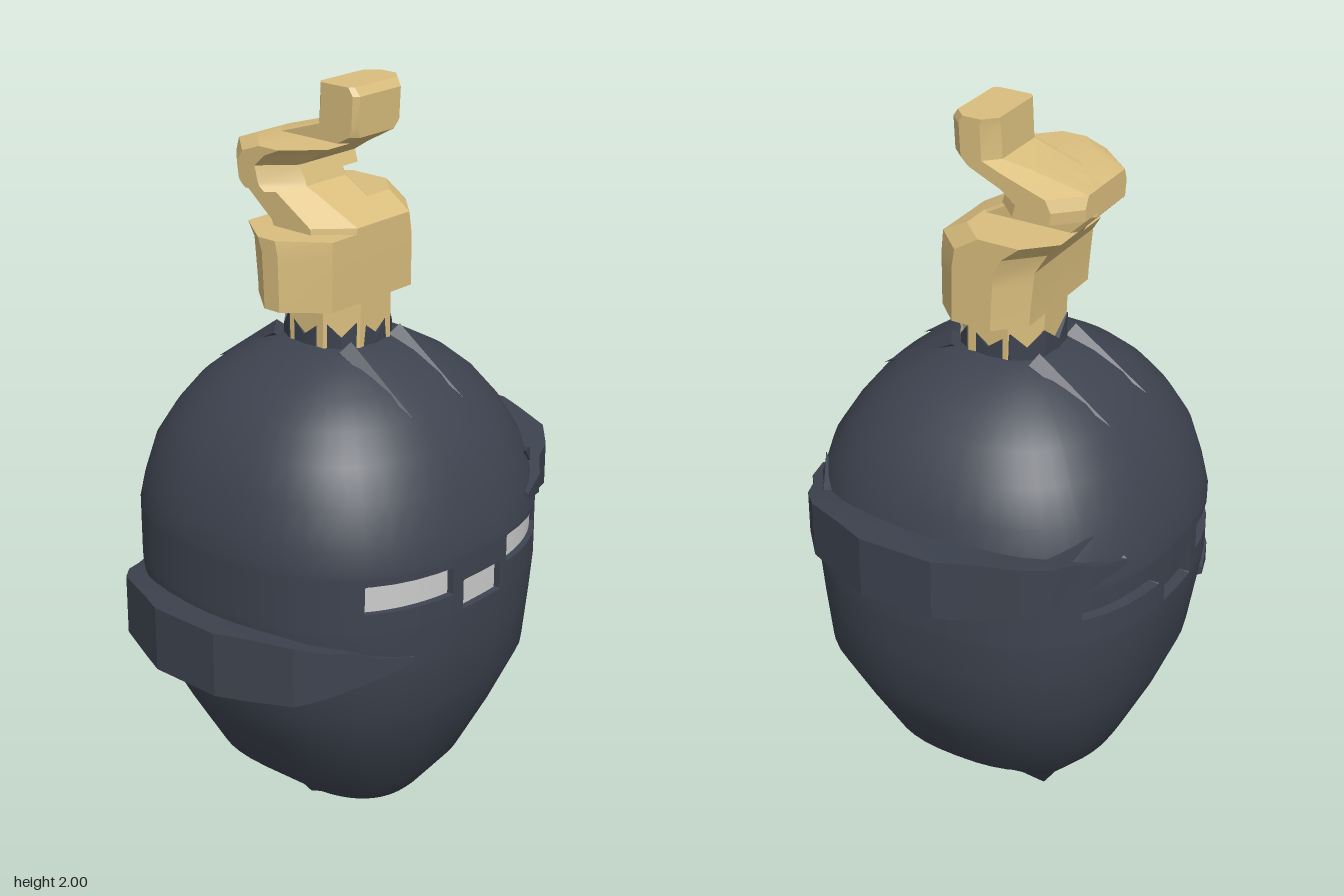
import * as THREE from 'three';
import { toCreasedNormals } from 'three/addons/utils/BufferGeometryUtils.js';

const cloth = new THREE.MeshStandardMaterial({ color: 0x3d434f });
const gold = new THREE.MeshStandardMaterial({ color: 0xdabe7e });
const grey = new THREE.MeshStandardMaterial({ color: 0xcccccc });

// Skin a stack of rings (bottom to top, points running from +x towards +z) and cap both ends.
function loft(rings, crease) {
  const pos = [], n = rings[0].length;
  const tri = (...p) => p.forEach((v) => pos.push(...v));
  const mid = (r) => [0, 1, 2].map((k) => r.reduce((s, p) => s + p[k], 0) / n);
  const first = rings[0], last = rings[rings.length - 1];
  for (let i = 0; i < n; i++) {
    const j = (i + 1) % n;
    for (let k = 0; k + 1 < rings.length; k++) {
      const a = rings[k], b = rings[k + 1];
      tri(a[i], b[i], a[j]);
      tri(a[j], b[i], b[j]);
    }
    tri(mid(first), first[i], first[j]);
    tri(mid(last), last[j], last[i]);
  }
  const geo = new THREE.BufferGeometry();
  geo.setAttribute('position', new THREE.Float32BufferAttribute(pos, 3));
  return toCreasedNormals(geo, crease);
}

// Piecewise-linear lookup in rows of [y, value, ...]
function lookup(table, y, col = 1) {
  const i = Math.max(1, table.findIndex((row) => row[0] >= y));
  const a = table[i - 1], b = table[i];
  return a[col] + ((b[col] - a[col]) * (y - a[0])) / (b[0] - a[0]);
}
const sorted = (list) => [...new Set(list)].sort((a, b) => a - b);

// Head: y, half width, front z, back z
const HEAD = [
  [0.0, 0.005, -0.09, -0.1], [0.06, 0.06, 0.03, -0.14], [0.15, 0.17, 0.24, -0.22],
  [0.25, 0.29, 0.32, -0.305], [0.4, 0.375, 0.395, -0.38], [0.54, 0.45, 0.455, -0.437],
  [0.68, 0.465, 0.468, -0.46], [0.78, 0.475, 0.475, -0.475], [0.94, 0.475, 0.475, -0.475],
  [1.0, 0.466, 0.46, -0.46], [1.1, 0.437, 0.43, -0.43], [1.18, 0.395, 0.38, -0.38],
  [1.25, 0.338, 0.325, -0.325], [1.3, 0.28, 0.265, -0.265], [1.345, 0.2, 0.19, -0.19],
  [1.375, 0.125, 0.125, -0.125],
];
const POWER = 2.45, WIDEST = 0.475, EPS = 0.0015, SLOT_DEPTH = 0.028;
const SLOTS = [[-0.33, -0.11, 0.84, 0.91], [-0.07, 0.07, 0.79, 0.865], [0.1, 0.33, 0.855, 0.925]];
const bend = (v) => Math.sign(v) * Math.abs(v) ** (2 / POWER);

// Rounded-square rings, with rows and columns doubled at the slot edges so the slots can be sunk in
function headGeometry() {
  const edges = (a, b) => [a - EPS, a + EPS, b - EPS, b + EPS];
  const ys = sorted([...HEAD.map((h) => h[0]), ...SLOTS.flatMap((s) => edges(s[2], s[3]))]);
  const columns = SLOTS.flatMap((s) => edges(s[0], s[1])).map((x) =>
    Math.acos(Math.sign(x) * (Math.abs(x) / WIDEST) ** (POWER / 2)));
  const angles = sorted([
    ...Array.from({ length: 48 }, (_, i) => (i / 48) * Math.PI * 2),
    ...columns, ...columns.map((a) => Math.PI * 2 - a),
  ]);
  const rings = ys.map((y) => {
    const hx = lookup(HEAD, y, 1), f = lookup(HEAD, y, 2), b = lookup(HEAD, y, 3);
    return angles.map((a) => {
      const x = hx * bend(Math.cos(a)), z = (f + b) / 2 + ((f - b) / 2) * bend(Math.sin(a));
      const sunk = SLOTS.some(([x0, x1, y0, y1]) => x > x0 && x < x1 && y > y0 && y < y1);
      return [x, y, z - (sunk ? Math.sign(z) * SLOT_DEPTH : 0)];
    });
  });
  return loft(rings, 0.5);
}

// Flame depth by height
const FLAME_FRONT = [[1.3, 0.12], [1.6, 0.125], [1.68, 0.125], [1.76, -0.02], [1.81, -0.04], [1.88, 0.08], [1.98, 0.085], [2, 0.07]];
const FLAME_BACK = [[1.3, -0.11], [1.52, -0.12], [1.63, -0.13], [1.68, -0.16], [1.77, -0.25], [1.84, -0.25], [1.9, -0.045], [2, -0.04]];

// One blocky tongue: an x/y box that follows the flame's depth, with cut corners
function tongue(x0, x1, y0, y1, cutLeft, cutRight) {
  const inner = [...FLAME_FRONT, ...FLAME_BACK].map((p) => p[0]).filter((y) => y > y0 && y < y1);
  const rings = sorted([y0, ...inner, y1]).map((y) => {
    const f = lookup(FLAME_FRONT, y), b = lookup(FLAME_BACK, y), d = f - b;
    const l = cutLeft * d, r = cutRight * d;
    const wl = Math.min(l, 0.45 * (x1 - x0)), wr = Math.min(r, 0.45 * (x1 - x0));
    return [
      [x1, y, b + l], [x1, y, f - l], [x1 - wl, y, f], [x0 + wr, y, f],
      [x0, y, f - r], [x0, y, b + r], [x0 + wr, y, b], [x1 - wl, y, b],
    ];
  });
  return loft(rings, 0.3);
}

export function createModel() {
  const model = new THREE.Group();
  const add = (name, geo, mat) => {
    const mesh = new THREE.Mesh(geo, mat);
    mesh.name = name;
    model.add(mesh);
    return mesh;
  };
  // Thin pointed fold running from a to b
  const fold = (name, a, b, radius) => {
    const from = new THREE.Vector3(...a), to = new THREE.Vector3(...b);
    const dir = to.clone().sub(from);
    const geo = toCreasedNormals(new THREE.ConeGeometry(radius, dir.length(), 4), 0.3);
    const mesh = add(name, geo, cloth);
    mesh.position.copy(from).addScaledVector(dir, 0.5);
    mesh.quaternion.setFromUnitVectors(new THREE.Vector3(0, 1, 0), dir.normalize());
  };

  add('head', headGeometry(), cloth);

  // Collar with a jagged upper edge
  const collar = [1.34, 1.41].map((y, k) => Array.from({ length: 16 }, (_, i) => {
    const a = (i / 16) * Math.PI * 2;
    return [0.125 * bend(Math.cos(a)), y + (k ? (i % 2 ? 0.035 : -0.01) : 0), 0.127 * bend(Math.sin(a))];
  }));
  add('collar', loft(collar, 0.3), cloth);
  for (const sx of [-1, 1])
    for (const sz of [-1, 1])
      fold('collarFold', [sx * 0.09, 1.375, sz * 0.11], [sx * 0.095, 1.255, sz * 0.325], 0.028);

  // Pale eye strips lying in the front slots, curved to the head
  for (const [x0, x1, y0, y1] of SLOTS) {
    const geo = new THREE.BoxGeometry(x1 - x0, y1 - y0, 0.02, 12, 1, 1);
    geo.translate((x0 + x1) / 2, (y0 + y1) / 2, 0);
    const p = geo.attributes.position;
    for (let i = 0; i < p.count; i++) {
      const surface = WIDEST * (1 - (Math.abs(p.getX(i)) / WIDEST) ** POWER) ** (1 / POWER);
      p.setZ(i, p.getZ(i) + surface - 0.026);
    }
    geo.computeVertexNormals();
    add('eyeStrip', geo, grey);
  }

  // Side bulges of the wrap, thinning towards front and back; the left one sits higher
  const half = [[0.56, 0.1], [0.53, 0.17], [0.48, 0.29], [0.42, 0.345], [0.36, 0.37], [0.31, 0.41], [0.22, 0.442], [0.2, 0.36], [0.3, 0.28]];
  const outline = [...half.map(([x, z]) => [x, -z]).reverse(), ...half];
  for (const [name, s, y0, y1] of [['leftBulge', 1, 0.9, 1.06], ['rightBulge', -1, 0.61, 0.78]]) {
    const ym = (y0 + y1) / 2;
    const rings = [y0, y1].map((y) => outline.map(([x, z]) => {
      const thin = 1 - 0.9 * Math.max(0, (Math.abs(z) - 0.25) / 0.192) ** 1.6;
      return [s * x, ym + (y - ym) * Math.max(thin, 0.1), s * z];
    }));
    add(name, loft(rings, 0.4), cloth);
    for (const sz of [-1, 1])
      fold('wrapFold', [s * 0.4, ym, sz * 0.28], [s * 0.28, ym + 0.09, sz * 0.385], 0.05);
  }

  // Flame: stem and tongues
  add('flameStem', tongue(-0.12, 0.12, 1.36, 1.62, 0.27, 0.27), gold);
  add('flameRightTongue', tongue(-0.24, -0.06, 1.49, 1.665, 0, 0.4), gold);
  add('flameLeftTongue', tongue(-0.06, 0.2, 1.49, 1.72, 0.28, 0), gold);
  add('flameCentre', tongue(-0.15, 0.06, 1.6, 1.86, 0.05, 0.28), gold);
  add('flameBackTongue', tongue(-0.17, 0.02, 1.75, 1.86, 0, 0.36), gold);
  add('flameTip', tongue(-0.03, 0.165, 1.78, 2.0, 0.28, 0.1), gold);
  return model;
}
